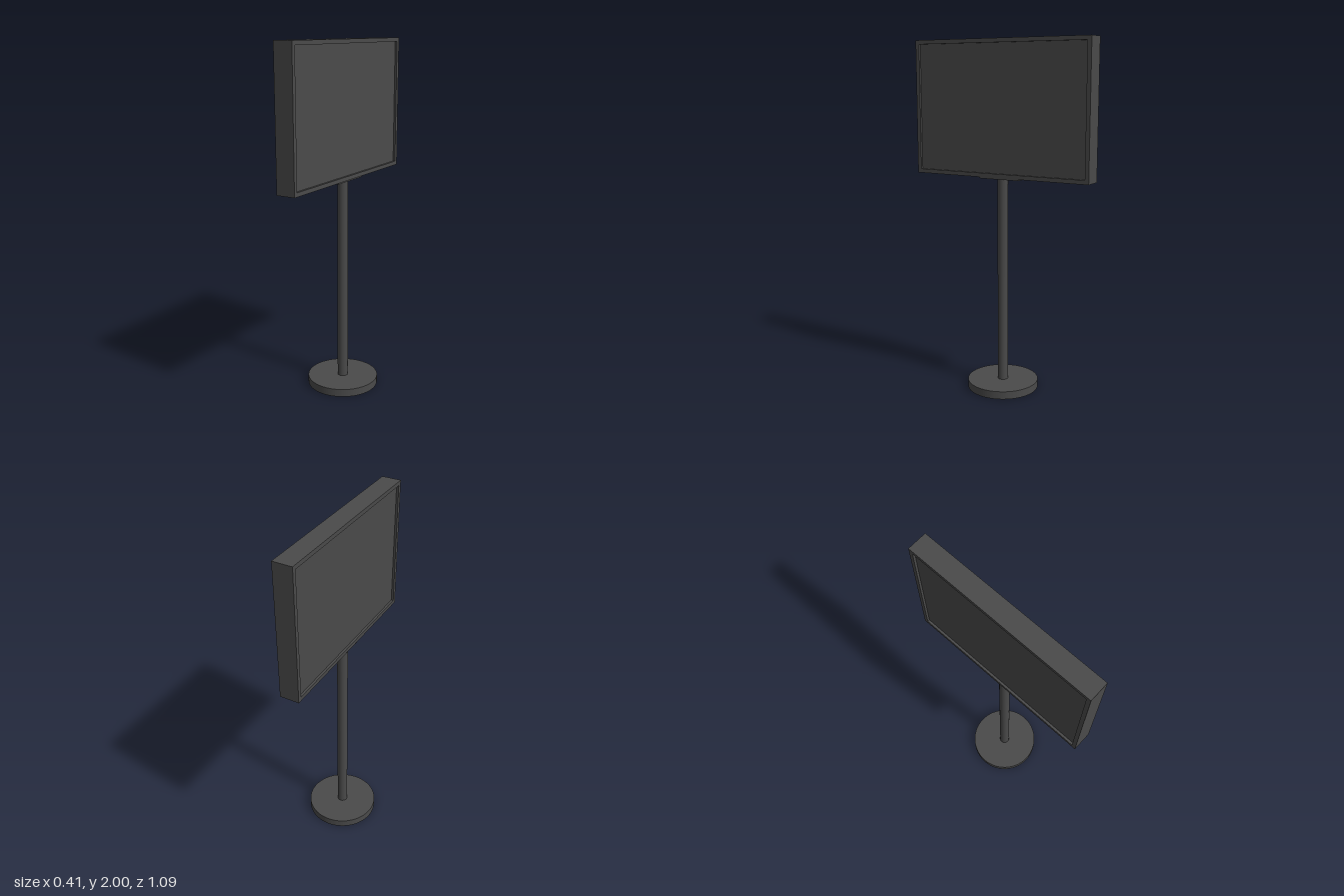
import * as THREE from 'three';

export function createModel() {
  const group = new THREE.Group();
  const material = new THREE.MeshStandardMaterial({ color: 0x4a4a4a });
  const hollow = new THREE.MeshStandardMaterial({ color: 0x4a4a4a, side: THREE.DoubleSide });

  const add = (name, geometry, x, y, z, mat = material) => {
    const mesh = new THREE.Mesh(geometry, mat);
    mesh.name = name;
    mesh.position.set(x, y, z);
    group.add(mesh);
    return mesh;
  };

  // Round foot with a bore for the pole
  const R = 0.205, H = 0.045, bore = 0.026;
  const disc = new THREE.Shape().absarc(0, 0, R, 0, Math.PI * 2);
  disc.holes.push(new THREE.Path().absarc(0, 0, bore, 0, Math.PI * 2, true));
  const baseGeometry = new THREE.ExtrudeGeometry(disc, { depth: H, bevelEnabled: false, curveSegments: 48 });
  baseGeometry.rotateX(-Math.PI / 2);
  add('base', baseGeometry, 0, 0, 0);

  // Hollow upright
  const poleTop = 1.25;
  add('pole', new THREE.CylinderGeometry(0.03, 0.03, poleTop - H, 32, 1, true), 0, (poleTop + H) / 2, 0, hollow);

  // Mounting plate under the sign
  add('mountingPlate', new THREE.BoxGeometry(0.1, 0.02, 0.25), 0, 1.242, 0);

  // Sign frame: a rectangular ring, extruded across x
  const W = 1.09, bottom = 1.24, top = 2, rim = 0.023, T = 0.11;
  const height = top - bottom, midY = (top + bottom) / 2;
  const rectangle = (target, w, h) => {
    target.moveTo(-w / 2, -h / 2).lineTo(w / 2, -h / 2).lineTo(w / 2, h / 2).lineTo(-w / 2, h / 2);
    target.closePath();
    return target;
  };
  const frame = rectangle(new THREE.Shape(), W, height);
  frame.holes.push(rectangle(new THREE.Path(), W - 2 * rim, height - 2 * rim));
  const frameGeometry = new THREE.ExtrudeGeometry(frame, { depth: T, bevelEnabled: false });
  frameGeometry.translate(0, 0, -T / 2).rotateY(Math.PI / 2);
  add('signFrame', frameGeometry, 0, midY, 0);

  // Recessed display panel on each face
  const recess = 0.013, panelT = 0.02;
  for (const side of [1, -1]) {
    add(side > 0 ? 'leftPanel' : 'rightPanel',
      new THREE.BoxGeometry(panelT, height - 2 * rim, W - 2 * rim),
      side * (T / 2 - recess - panelT / 2), midY, 0);
  }

  return group;
}
